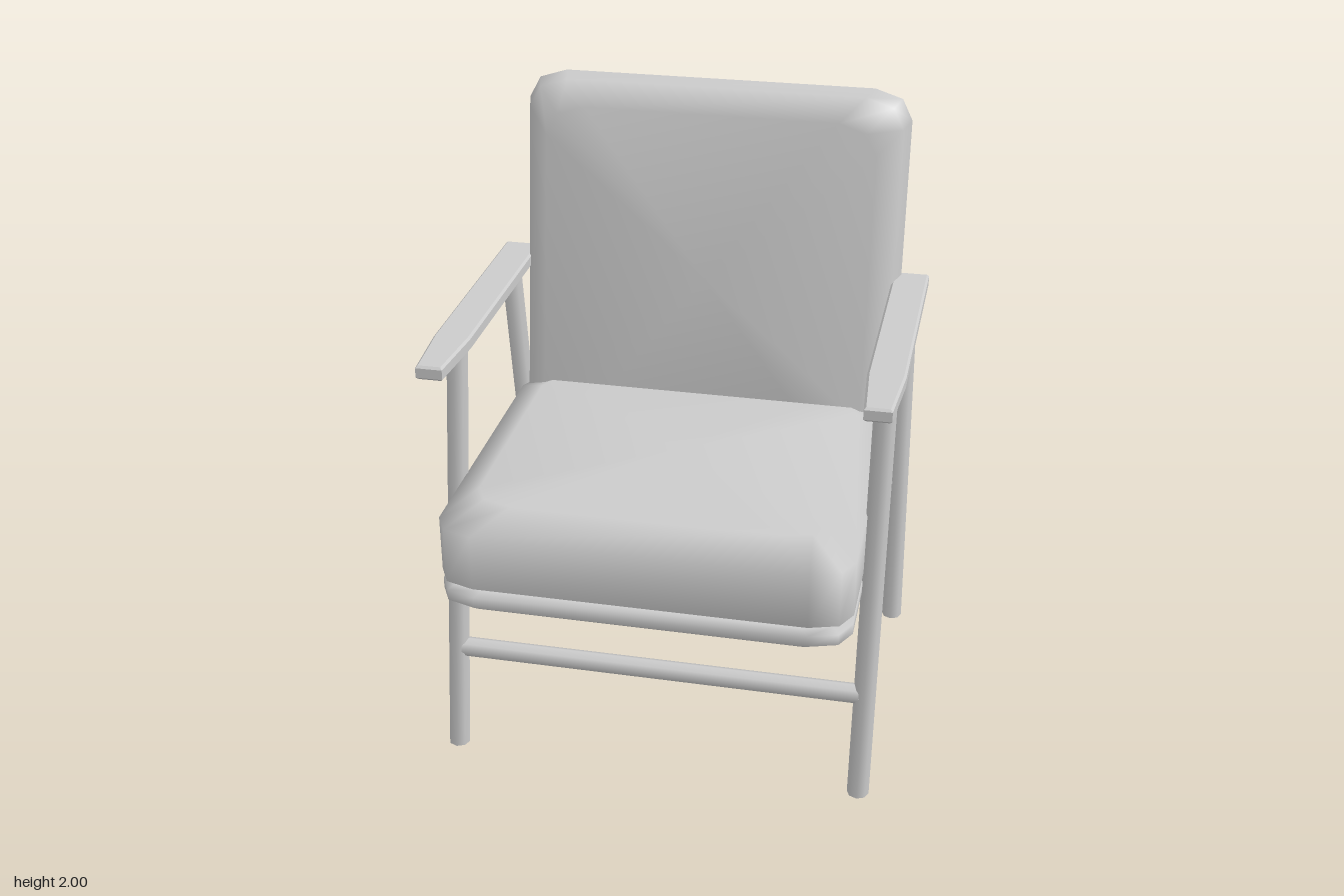
import * as THREE from 'three';

const material = new THREE.MeshStandardMaterial({ color: 0xcccccc, roughness: 0.8 });

function mesh(name, geometry, parent) {
  const m = new THREE.Mesh(geometry, material);
  m.name = name;
  parent.add(m);
  return m;
}

// Counter-clockwise rectangle with softly clipped corners, two facets each
function roundedOutline(hw, hh) {
  const corner = [[hw, hh - 0.095], [hw - 0.035, hh - 0.028], [hw - 0.125, hh]];
  const flip = (list, sx, sy) => list.map(([x, y]) => [x * sx, y * sy]);
  const reversed = [...corner].reverse();
  return [
    ...corner,
    ...flip(reversed, -1, 1),
    ...flip(corner, -1, -1),
    ...flip(reversed, 1, -1),
  ];
}

// Padded slab: rounded outlines stacked along z, each level being [z, inset]
function padGeometry(hw, hh, levels) {
  const positions = [];
  const index = [];
  const n = 12;
  for (const [z, inset] of levels) {
    for (const [x, y] of roundedOutline(hw - inset, hh - inset)) positions.push(x, y, z);
  }
  for (let k = 0; k < levels.length - 1; k++) {
    for (let i = 0; i < n; i++) {
      const j = (i + 1) % n;
      const a = k * n + i, b = k * n + j;
      index.push(a, b, b + n, a, b + n, a + n);
    }
  }
  // Fans closing both ends
  const last = (levels.length - 1) * n;
  const low = levels.length * n;
  positions.push(0, 0, levels[0][0], 0, 0, levels[levels.length - 1][0]);
  for (let i = 0; i < n; i++) {
    const j = (i + 1) % n;
    index.push(low, j, i, low + 1, last + i, last + j);
  }
  const g = new THREE.BufferGeometry();
  g.setAttribute('position', new THREE.Float32BufferAttribute(positions, 3));
  g.setIndex(index);
  g.computeVertexNormals();
  return g;
}

// Slanted leg, sheared so that both ends stay level
function legGeometry(height, zFoot, zTop) {
  const g = new THREE.CylinderGeometry(0.035, 0.035, height, 8);
  g.translate(0, height / 2, 0);
  const p = g.attributes.position;
  for (let i = 0; i < p.count; i++) {
    p.setZ(i, p.getZ(i) + zFoot + (zTop - zFoot) * p.getY(i) / height);
  }
  g.computeBoundingSphere();
  return g;
}

// Flat armrest, tapering towards the front
function armGeometry() {
  const b = 0.007;
  const outline = [[-0.058, 0.515], [0.058, 0.515], [0.058, -0.27], [0.042, -0.49], [-0.042, -0.49], [-0.058, -0.27]]
    .map(([x, y]) => new THREE.Vector2(x - Math.sign(x) * b, y - Math.sign(y) * b))
    .reverse();
  const g = new THREE.ExtrudeGeometry(new THREE.Shape(outline), {
    depth: 0.045 - 2 * b, bevelSize: b, bevelThickness: b, bevelSegments: 1,
  });
  g.rotateX(-Math.PI / 2);
  g.translate(0, 1.36 + b, 0);
  return g;
}

export function createModel() {
  const chair = new THREE.Group();
  chair.name = 'armchair';

  // Legs and armrests, mirrored
  for (const [side, s] of [['left', 1], ['right', -1]]) {
    const frame = new THREE.Group();
    frame.name = side + 'SideFrame';
    frame.position.x = s * 0.667;
    mesh('frontLeg', legGeometry(1.365, 0.445, 0.22), frame);
    mesh('backLeg', legGeometry(1.365, -0.605, -0.37), frame);
    mesh('armrest', armGeometry(), frame);
    chair.add(frame);
  }

  // Stretchers between the legs
  for (const [name, y, z] of [['frontStretcher', 0.343, 0.388], ['backStretcher', 0.63, -0.496]]) {
    const bar = mesh(name, new THREE.CylinderGeometry(0.032, 0.032, 1.3, 8), chair);
    bar.rotation.z = Math.PI / 2;
    bar.position.set(0, y, z);
  }

  // Seat base and cushion
  const base = mesh('seatBase', padGeometry(0.636, 0.565,
    [[0.68, 0.012], [0.69, 0], [0.725, 0], [0.74, 0.02]]), chair);
  base.rotation.x = -Math.PI / 2;
  base.position.z = 0.1;

  const seat = mesh('seatCushion', padGeometry(0.637, 0.5525,
    [[0.738, 0.03], [0.757, 0], [0.94, 0], [1.0, 0.1]]), chair);
  seat.rotation.x = -Math.PI / 2;
  seat.position.z = 0.1125;

  // Reclined back cushion
  const back = mesh('backCushion', padGeometry(0.635, 0.635,
    [[-0.372, 0.08], [-0.335, 0.01], [-0.283, 0], [-0.21, 0.02], [-0.14, 0.095]])
    .translate(0, 1.43, 0), chair);
  back.rotation.x = -0.148;

  return chair;
}
